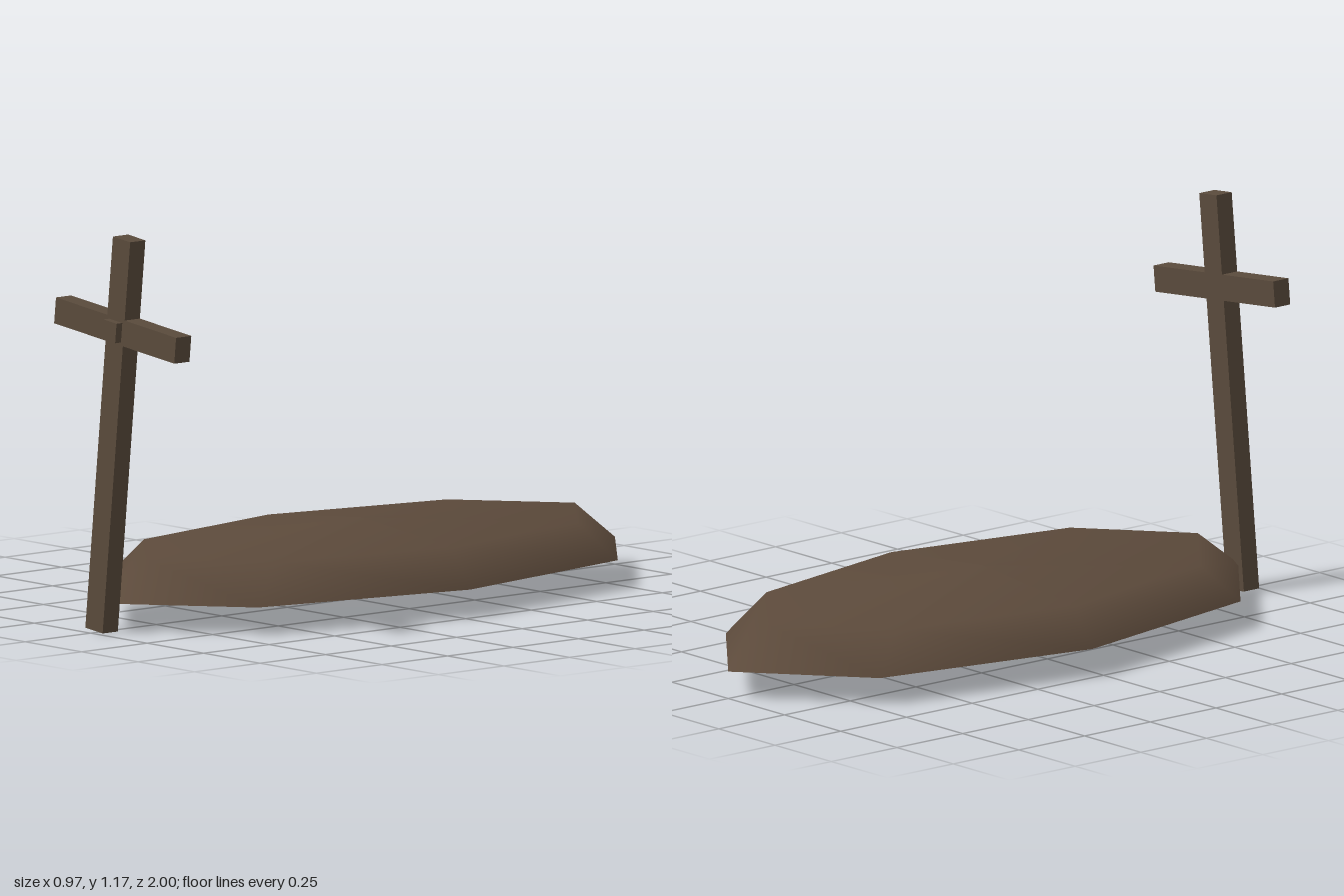
import * as THREE from 'three';

export function createModel() {
  const model = new THREE.Group();
  const earth = new THREE.MeshStandardMaterial({ name: 'earth', color: 0x5c4a3b });
  const wood = new THREE.MeshStandardMaterial({ name: 'wood', color: 0x5a4b3c });

  // Low earth mound: stretched eight-sided dome with soft shading
  const mound = new THREE.Group();
  mound.name = 'mound';
  mound.position.z = -0.03;
  const profile = [[1, 0.085], [0.842, 0.2], [0, 0.24]].map(([r, y]) => new THREE.Vector2(r, y));
  const dome = new THREE.Mesh(new THREE.LatheGeometry(profile, 8).scale(0.485, 1, 0.97), earth);
  dome.name = 'moundTop';
  const base = new THREE.Mesh(
    new THREE.CircleGeometry(1, 8).rotateX(Math.PI / 2).scale(0.485, 1, 0.97).translate(0, 0.085, 0), earth);
  base.name = 'moundBase';
  mound.add(dome, base);
  model.add(mound);

  // Leaning wooden cross at the front tip of the mound
  const cross = new THREE.Group();
  cross.name = 'cross';
  cross.position.set(0.05, 0.588, 0.949);
  cross.rotation.z = -0.105;
  const addBeam = (name, w, h, d, y, z) => {
    const beam = new THREE.Mesh(new THREE.BoxGeometry(w, h, d), wood);
    beam.name = name;
    beam.position.set(0, y, z);
    cross.add(beam);
  };
  addBeam('post', 0.077, 1.165, 0.058, 0, 0);
  addBeam('crossbar', 0.535, 0.077, 0.058, 0.311, 0);
  addBeam('jointPeg', 0.058, 0.058, 0.058, 0.311, 0.022);
  model.add(cross);

  return model;
}
